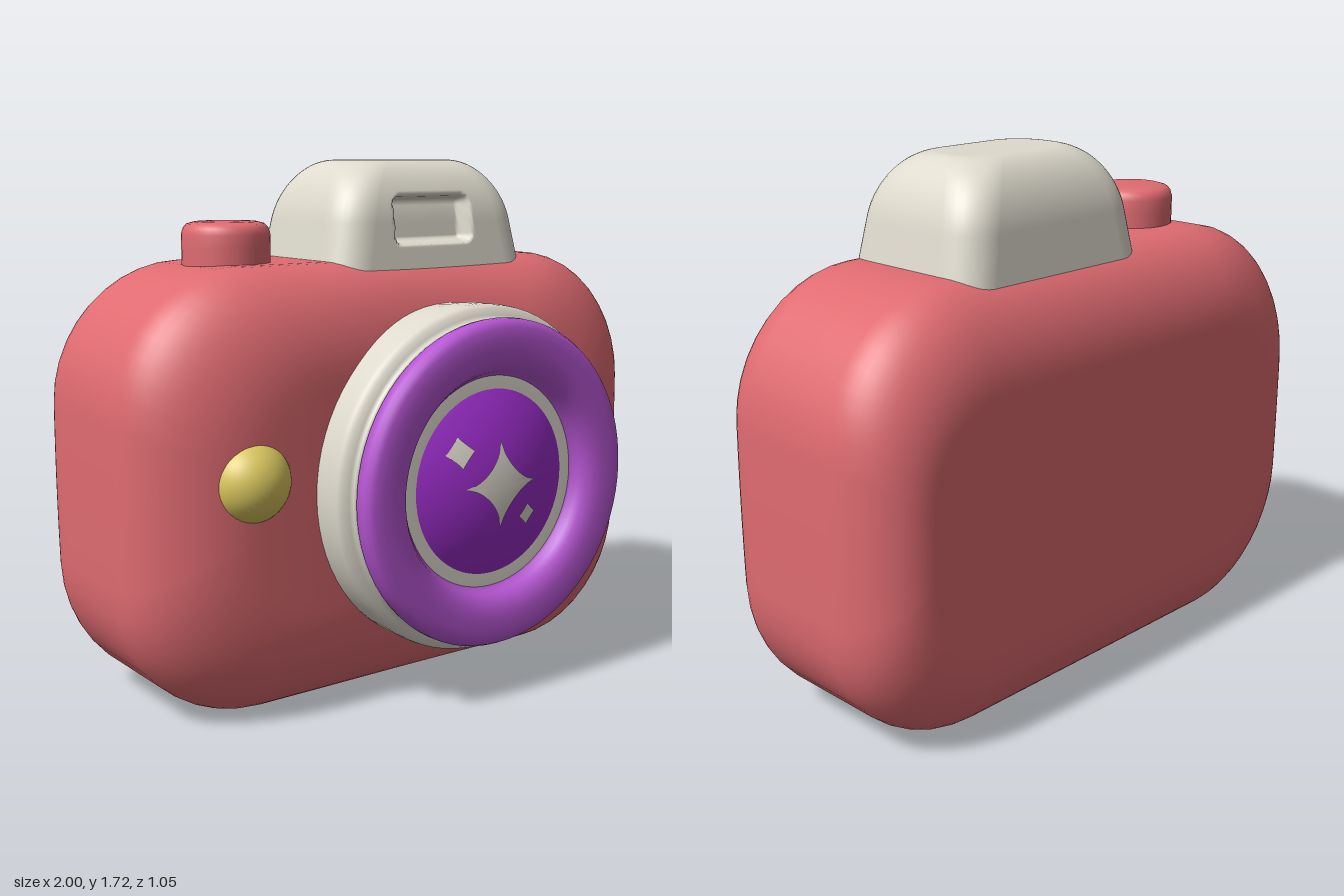
import * as THREE from 'three';

const mat = (name, color) => new THREE.MeshStandardMaterial({ name, color });

// Rounded rectangle as [u, v] points, counter-clockwise, m steps per edge
function outline(hw, hh, r, m, n = 10) {
  const pts = [];
  const corners = [[1, 1], [-1, 1], [-1, -1], [1, -1]];
  corners.forEach(([sx, sy], k) => {
    for (let i = 0; i <= n; i++) {
      const a = (k + i / n) * Math.PI / 2;
      pts.push([sx * (hw - r) + r * Math.cos(a), sy * (hh - r) + r * Math.sin(a)]);
    }
    const [nx, ny] = corners[(k + 1) % 4];
    const a = (k + 1) * Math.PI / 2;
    const p = pts[pts.length - 1];
    const q = [nx * (hw - r) + r * Math.cos(a), ny * (hh - r) + r * Math.sin(a)];
    for (let i = 1; i < m; i++) pts.push([p[0] + (q[0] - p[0]) * i / m, p[1] + (q[1] - p[1]) * i / m]);
  });
  return pts;
}

// Smooth skin over closed rings of [x, y, z]
function skin(rings) {
  const n = rings[0].length, index = [];
  for (let i = 0; i < rings.length - 1; i++) {
    for (let j = 0; j < n; j++) {
      const k = (j + 1) % n, a = i * n, b = a + n;
      index.push(a + j, a + k, b + k, a + j, b + k, b + j);
    }
  }
  const g = new THREE.BufferGeometry();
  g.setAttribute('position', new THREE.Float32BufferAttribute(rings.flat(2), 3));
  g.setIndex(index);
  g.computeVertexNormals();
  return g;
}

// Pillow-shaped body, slightly hollowed behind the lens
function bodyGeometry() {
  const rings = [];
  const add = (z, ix, iy, r, scale = 1) => rings.push(outline(1 - ix, 0.7 - iy, r, 16).map(([u, v]) => {
    const x = u * scale * (1 - 0.02 * (v / 0.7) ** 2), y = 0.7 + v * scale;
    const dip = z > 0.1 ? 0.04 * Math.exp(-(((x - 0.12) / 0.42) ** 2)) * (z - 0.1) / 0.2 : 0;
    return [x, y, z - dip];
  }));
  const caps = [0, 0.2, 0.4, 0.6, 0.8, 0.92];
  const N = 14;
  for (const s of caps) add(-0.525, 0.2, 0.3, 0.28, s);
  for (let i = 0; i <= N; i++) {
    const a = i / N * Math.PI / 2, k = 1 - Math.sin(a);
    add(-0.305 - 0.22 * Math.cos(a), 0.2 * k, 0.3 * k, 0.42 - 0.14 * k);
  }
  for (let i = 0; i <= N; i++) {
    const a = i / N * Math.PI / 2, k = 1 - Math.cos(a);
    add(0.05 + 0.25 * Math.sin(a), 0.36 * k, 0.33 * k, 0.42 - 0.14 * k);
  }
  for (const s of caps.slice().reverse()) add(0.3, 0.36, 0.33, 0.28, s);
  return skin(rings);
}

// Tapered viewfinder housing with a recessed window pressed into its front
function finderGeometry() {
  const rings = [];
  const add = (y, inset, scale = 1) => {
    const t = (y - 1.36) / 0.355;
    rings.push(outline(0.4 - 0.07 * t - inset, 0.275 - 0.04 * t - inset, 0.11, 60, 8).map(([u, v]) => {
      const x = 0.155 + u * scale;
      let z = -0.13 - v * scale;
      if (z > 0) {
        const dx = Math.abs(x - 0.14) - 0.13, dy = Math.abs(y - 1.525) - 0.05;
        const d = Math.hypot(Math.max(dx, 0), Math.max(dy, 0)) + Math.min(Math.max(dx, dy), 0) - 0.03;
        z -= 0.055 * THREE.MathUtils.smoothstep(-d, 0, 0.018);
      }
      return [x, y, z];
    }));
  };
  for (let i = 0; i < 26; i++) add(1.36 + 0.16 * i / 26, 0);
  for (let i = 0; i <= 30; i++) {
    const a = i / 30 * Math.PI / 2;
    add(1.52 + 0.197 * Math.sin(a), 0.12 * (1 - Math.cos(a)));
  }
  for (const s of [0.8, 0.4, 0]) add(1.717, 0.12, s);
  return skin(rings);
}

const lathe = (pts, seg = 72) => new THREE.LatheGeometry(pts.map(p => new THREE.Vector2(...p)), seg);

const LENS = [0.12, 0.71];
const DOME_R = 0.65, DOME_TOP = 0.522;
const domeZ = r => DOME_TOP - DOME_R + Math.sqrt(DOME_R ** 2 - r * r);

// Four-pointed sparkle lying on the lens dome
function sparkleGeometry(cx, cy, size, p, turn) {
  const rings = [];
  for (let i = 0; i <= 8; i++) {
    const ring = [];
    for (let j = 0; j < 64; j++) {
      const a = j / 64 * Math.PI * 2;
      const r = size * (1 - i / 8) * (Math.abs(Math.cos(a)) ** p + Math.abs(Math.sin(a)) ** p) ** (-1 / p);
      const x = cx + r * Math.cos(a + turn), y = cy + r * Math.sin(a + turn);
      ring.push([x, y, domeZ(Math.hypot(x - LENS[0], y - LENS[1])) + 0.004]);
    }
    rings.push(ring);
  }
  return skin(rings);
}

export function createModel() {
  const red = mat('coral red', 0xdf6b71);
  const cream = mat('warm cream', 0xdedacd);
  const violet = mat('light violet', 0xb655d2);
  const purple = mat('deep purple', 0x9a2cc8);
  const yellow = mat('soft yellow', 0xdac75f);

  const model = new THREE.Group();
  model.name = 'toyCamera';
  const add = (name, geometry, material, x = 0, y = 0, z = 0) => {
    const mesh = new THREE.Mesh(geometry, material);
    mesh.name = name;
    mesh.position.set(x, y, z);
    model.add(mesh);
    return mesh;
  };

  add('body', bodyGeometry(), red);
  add('viewfinder', finderGeometry(), cream);

  // Shutter button with a softened rim
  add('shutterButton', lathe([[0.14, 1.34], [0.14, 1.45], [0.14, 1.49], [0.134, 1.51], [0.122, 1.522],
    [0.1, 1.528], [0.05, 1.53], [0, 1.53]], 40), red, -0.5, 0, -0.12);

  // Flash bulb
  add('flash', new THREE.SphereGeometry(0.13, 40, 28), yellow, -0.65, 0.78, 0.24);

  // Lens parts, turned around the z axis
  const turned = (name, pts, material) => {
    add(name, lathe(pts).rotateX(Math.PI / 2), material, LENS[0], LENS[1], 0);
  };
  turned('lensBarrel', [[0.545, 0.15], [0.555, 0.25], [0.56, 0.3], [0.562, 0.38], [0.56, 0.4], [0.55, 0.415],
    [0.53, 0.422], [0.518, 0.428], [0.515, 0.45], [0.3, 0.45]], cream);
  turned('lensRing', [[0.48, 0.437], [0.51, 0.44], [0.523, 0.45], [0.527, 0.47], [0.526, 0.49], [0.518, 0.506],
    [0.5, 0.515], [0.47, 0.518], [0.43, 0.517], [0.4, 0.511], [0.375, 0.497], [0.36, 0.477], [0.35, 0.455],
    [0.335, 0.445], [0.31, 0.443]], violet);
  const dome = [[0.335, 0.42]];
  for (let i = 0; i <= 16; i++) {
    const r = 0.33 * (1 - i / 16);
    dome.push([r, domeZ(r)]);
  }
  turned('lensGlass', dome, purple);

  // Sparkles on the glass
  add('largeSparkle', sparkleGeometry(0.11, 0.715, 0.14, 0.66, 0), cream);
  add('upperSparkle', sparkleGeometry(-0.04, 0.83, 0.05, 0.92, 0.08), cream);
  add('lowerSparkle', sparkleGeometry(0.225, 0.603, 0.038, 0.92, 0.08), cream);

  return model;
}
